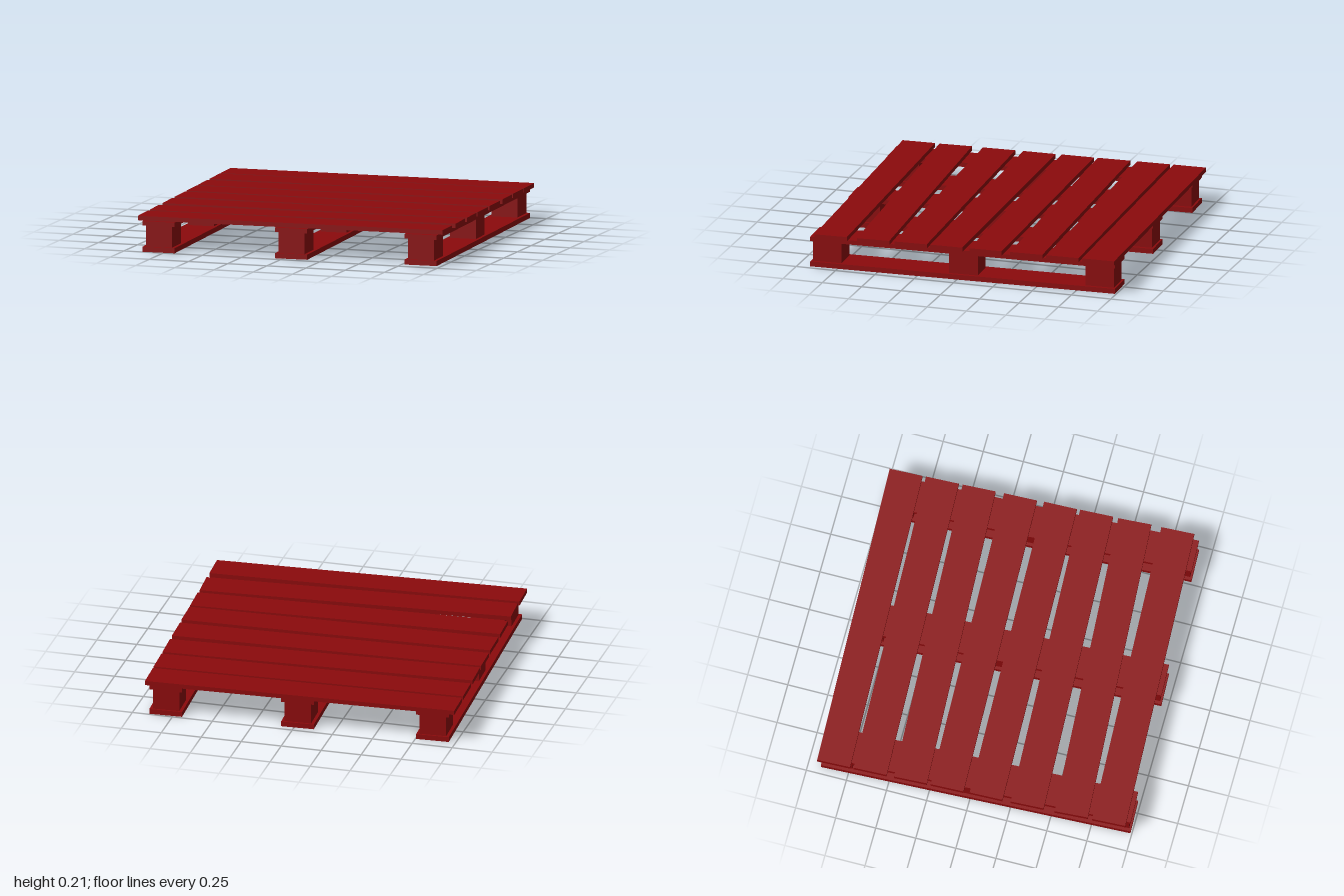
import * as THREE from 'three';

export function createModel() {
  const model = new THREE.Group();
  model.name = 'pallet';
  const paint = new THREE.MeshStandardMaterial({ color: 0x8b0a0c });

  // Box resting on height y
  const addBox = (parent, name, w, h, d, x, y, z) => {
    const mesh = new THREE.Mesh(new THREE.BoxGeometry(w, h, d), paint);
    mesh.name = name;
    mesh.position.set(x, y + h / 2, z);
    parent.add(mesh);
    return mesh;
  };

  // The whole pallet sits slightly askew
  const body = new THREE.Group();
  body.name = 'palletBody';
  body.rotation.y = 0.038;
  model.add(body);

  // Three runners: bottom board, three blocks, upper board
  [['right', -0.82], ['middle', 0.016], ['left', 0.832]].forEach(([side, x]) => {
    const runner = new THREE.Group();
    runner.name = side + 'Runner';
    runner.position.x = x;
    body.add(runner);
    addBox(runner, 'bottomBoard', 0.203, 0.031, 1.914, 0, 0, 0);
    addBox(runner, 'upperBoard', 0.203, 0.027, 1.914, 0, 0.16, 0);
    for (const z of [-0.855, 0, 0.855])
      addBox(runner, 'block', 0.164, 0.129, 0.18, 0, 0.031, z);
  });

  // Deck slats: position along the depth and small individual twist
  [
    [-0.864, -0.006], [-0.639, -0.005], [-0.401, 0.006], [-0.16, -0.009],
    [0.084, -0.012], [0.323, 0.004], [0.577, 0.023], [0.826, 0.005],
  ].forEach(([z, twist]) => {
    addBox(body, 'deckSlat', 1.918, 0.027, 0.203, 0, 0.187, z).rotation.y = twist;
  });

  return model;
}
